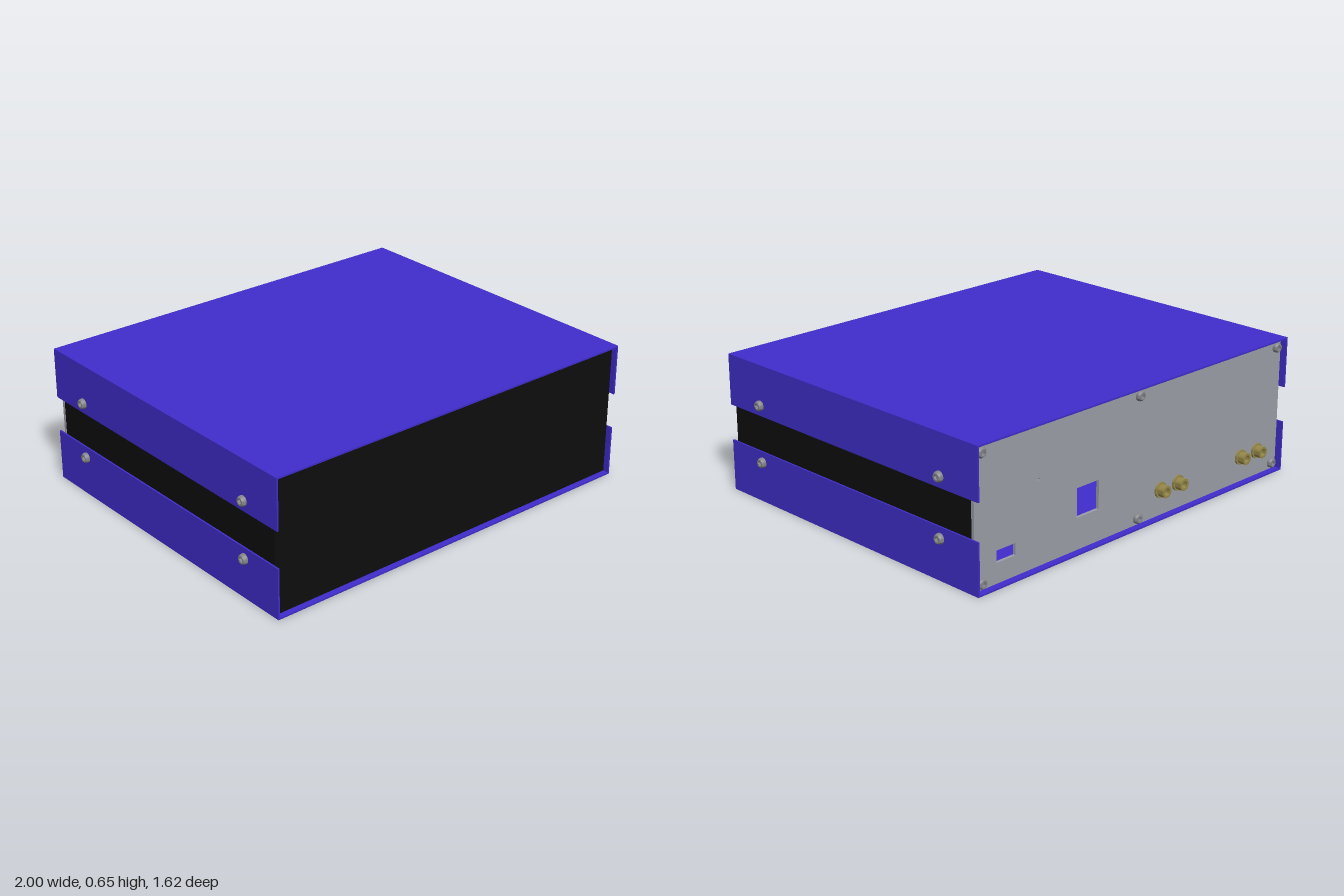
import * as THREE from 'three';
import { toCreasedNormals } from 'three/addons/utils/BufferGeometryUtils.js';

const material = (name, color) => {
  const m = new THREE.MeshStandardMaterial({ color });
  m.name = name;
  return m;
};

export function createModel() {
  const blue = material('blue paint', 0x402dcc);
  const black = material('black panel', 0x0d0d0d);
  const grey = material('aluminium', 0x9c9ea8);
  const steel = material('screw steel', 0x85868a);
  const brass = material('brass', 0x96894a);

  const W = 0.98, H = 0.65, T = 0.008; // half width, height, sheet thickness
  const BACK = -0.797, FRONT = 0.808;  // shell ends
  const PANEL_BACK = -0.765, PANEL_FRONT = 0.78;

  const model = new THREE.Group();
  model.name = 'equipmentCase';

  const add = (parent, name, geometry, mat, x = 0, y = 0, z = 0) => {
    const mesh = new THREE.Mesh(geometry, mat);
    mesh.name = name;
    mesh.position.set(x, y, z);
    parent.add(mesh);
    return mesh;
  };
  const lathe = (points, segments) => toCreasedNormals(
    new THREE.LatheGeometry(points.map(([r, y]) => new THREE.Vector2(r, y)), segments), 0.6);

  // Top cover and bottom tray: folded U-shaped sheets
  const F = 0.24; // flange height
  const uShape = new THREE.Shape([
    [-W, 0], [W, 0], [W, F], [W - T, F], [W - T, T], [-W + T, T], [-W + T, F], [-W, F],
  ].map(([x, y]) => new THREE.Vector2(x, y)));
  const uGeometry = new THREE.ExtrudeGeometry(uShape, { depth: FRONT - BACK, bevelEnabled: false });
  uGeometry.translate(0, 0, -(FRONT - BACK) / 2);
  const midZ = (FRONT + BACK) / 2;
  add(model, 'bottomTray', uGeometry, blue, 0, 0, midZ);
  add(model, 'topCover', uGeometry, blue, 0, H, midZ).rotation.z = Math.PI;

  // Front panel and side plates, inside the shell
  const innerH = H - 2 * T;
  add(model, 'frontPanel', new THREE.BoxGeometry(2 * (W - T), innerH, 0.02), black,
    0, H / 2, PANEL_FRONT - 0.01);
  const sideDepth = PANEL_FRONT - 0.02 - PANEL_BACK - 0.015;
  for (const s of [-1, 1]) {
    add(model, s > 0 ? 'leftSidePlate' : 'rightSidePlate',
      new THREE.BoxGeometry(0.015, innerH, sideDepth), black,
      s * (W - T - 0.0085), H / 2, PANEL_BACK + 0.015 + sideDepth / 2);
  }

  // Back panel with socket cut-outs and an indicator hole
  const rect = (Type, x0, y0, x1, y1) => new Type(
    [[x0, y0], [x1, y0], [x1, y1], [x0, y1]].map(([x, y]) => new THREE.Vector2(x, y)));
  const back = rect(THREE.Shape, -W + T, T, W - T, H - T);
  back.holes.push(
    rect(THREE.Path, 0.246, 0.155, 0.38, 0.29),
    rect(THREE.Path, 0.74, 0.1, 0.848, 0.155),
    new THREE.Path().absarc(0.61, 0.396, 0.006, 0, Math.PI * 2, true));
  add(model, 'backPanel', new THREE.ExtrudeGeometry(back, { depth: 0.015, bevelEnabled: false }),
    grey, 0, 0, PANEL_BACK);

  // Button-head screws with a six-sided socket
  const headGeometry = lathe([[0.024, 0], [0.024, 0.009], [0.022, 0.015], [0.018, 0.02], [0.0115, 0.02]], 24);
  const socketGeometry = lathe([[0.0125, 0.02], [0.0125, 0.008], [0, 0.008]], 6);
  const screw = (name, x, y, z) => {
    const g = new THREE.Group();
    g.name = name;
    g.position.set(x, y, z);
    add(g, 'screwHead', headGeometry, steel);
    add(g, 'screwSocket', socketGeometry, steel);
    model.add(g);
    return g;
  };
  for (const s of [-1, 1]) for (const y of [0.19, 0.46]) for (const z of [-0.575, 0.59]) {
    screw('sideScrew', s * W, y, z).rotation.z = -s * Math.PI / 2;
  }
  for (const x of [-0.937, 0, 0.937]) for (const y of [0.04, 0.605]) {
    screw('backScrew', x, y, PANEL_BACK).rotation.x = -Math.PI / 2;
  }

  // Hollow round jacks along the bottom of the back panel
  const jackGeometry = lathe([
    [0.036, 0], [0.036, 0.01], [0.028, 0.01], [0.028, 0.043], [0.017, 0.043], [0.017, 0.012], [0, 0.012],
  ], 24);
  for (const x of [-0.824, -0.706, -0.267, -0.15]) {
    add(model, 'jack', jackGeometry, brass, x, 0.13, PANEL_BACK).rotation.x = -Math.PI / 2;
  }
  return model;
}
